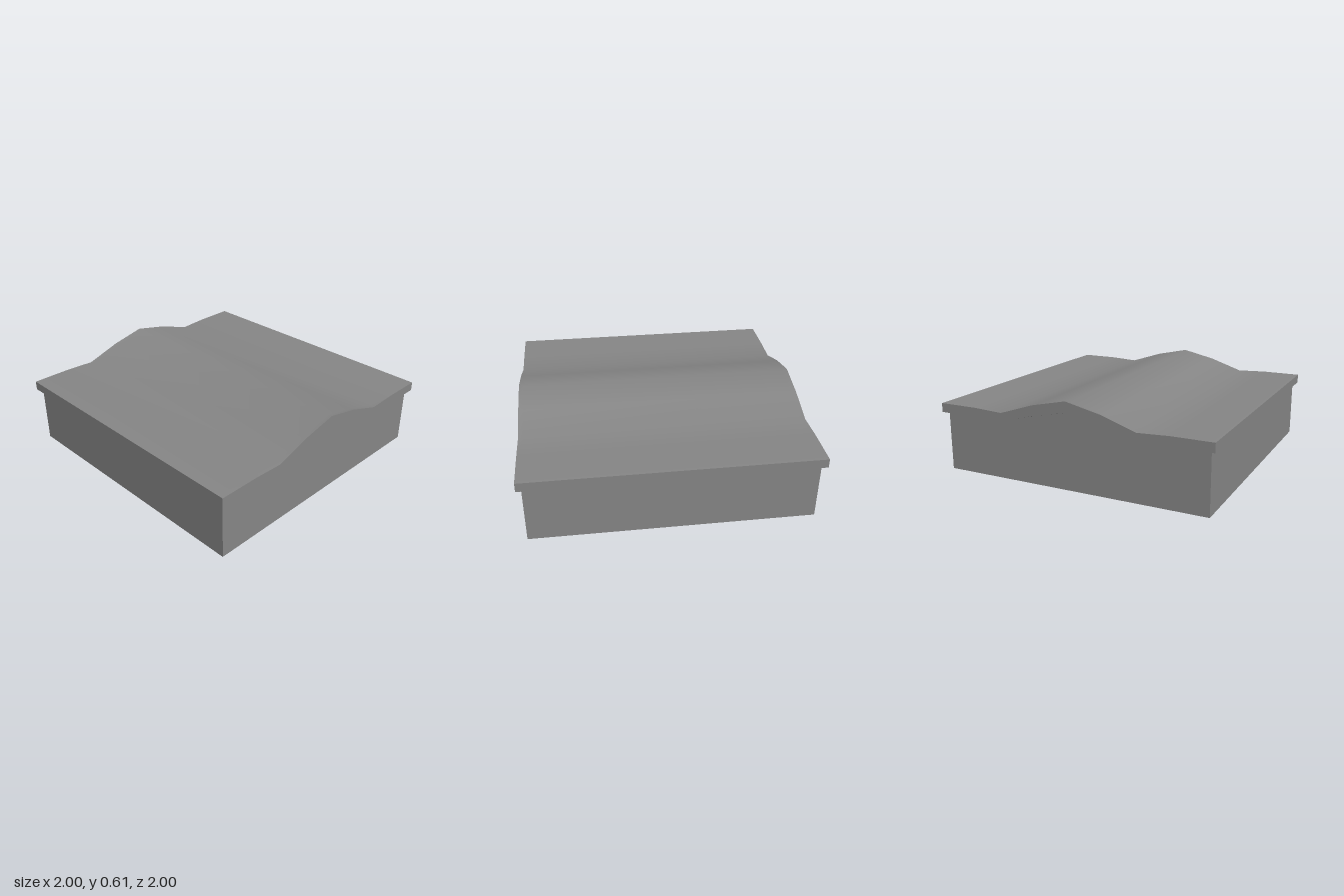
import * as THREE from 'three';
import { toCreasedNormals } from 'three/addons/utils/BufferGeometryUtils.js';

// Half profiles from the ridge outwards:
// [z, underside y at the ends, top y at the ends, underside y inside, top y inside]
const HALF = [
  [0, 0.535, 0.61, 0.528, 0.604],
  [0.25, 0.483, 0.555, 0.477, 0.55],
  [0.5, 0.419, 0.473, 0.419, 0.473],
  [0.72, 0.419, 0.483, 0.419, 0.483],
  [1, 0.419, 0.483, 0.419, 0.483],
];
// Mirrored profile running from z = 1 to z = -1
const PROFILE = [
  ...HALF.slice().reverse(),
  ...HALF.slice(1).map(([z, ...ys]) => [-z, ...ys]),
];

// Slab lofted along x through closed rings (top, then underside back again)
function slabGeometry() {
  const n = PROFILE.length;
  const ringSize = 2 * n;
  const xs = [-1, -0.967, 0.967, 1];
  const positions = [];
  const index = [];
  const quad = (a, b, c, d) => index.push(a, b, c, a, c, d);

  for (const x of xs) {
    const under = Math.abs(x) === 1 ? 1 : 3;
    for (const p of PROFILE) positions.push(x, p[under + 1], p[0]);
    for (const p of PROFILE.slice().reverse()) positions.push(x, p[under], p[0]);
  }
  for (let i = 0; i < xs.length - 1; i++) {
    for (let j = 0; j < ringSize; j++) {
      const k = (j + 1) % ringSize;
      const a = i * ringSize;
      const b = a + ringSize;
      quad(a + j, b + j, b + k, a + k);
    }
  }
  // End caps
  const last = (xs.length - 1) * ringSize;
  for (let j = 0; j < n - 1; j++) {
    const under = ringSize - 1 - j;
    quad(last + j, last + under, last + under - 1, last + j + 1);
    quad(j, j + 1, under - 1, under);
  }
  const geometry = new THREE.BufferGeometry();
  geometry.setAttribute('position', new THREE.Float32BufferAttribute(positions, 3));
  geometry.setIndex(index);
  return toCreasedNormals(geometry, Math.PI / 4);
}

// Block whose upper face follows the underside of the slab
function blockGeometry() {
  const r = 0.967;
  const shape = new THREE.Shape();
  shape.moveTo(-r, 0);
  shape.lineTo(r, 0);
  for (const p of PROFILE) shape.lineTo(THREE.MathUtils.clamp(p[0], -r, r), p[3]);
  shape.closePath();
  return new THREE.ExtrudeGeometry(shape, { depth: 2 * r, bevelEnabled: false })
    .translate(0, 0, -r)
    .rotateY(Math.PI / 2);
}

export function createModel() {
  const group = new THREE.Group();
  group.name = 'ridgedGroundTile';
  const material = new THREE.MeshStandardMaterial({ color: 0x868686 });

  const block = new THREE.Mesh(blockGeometry(), material);
  block.name = 'baseBlock';
  const slab = new THREE.Mesh(slabGeometry(), material);
  slab.name = 'ridgedTopSlab';

  group.add(block, slab);
  return group;
}
